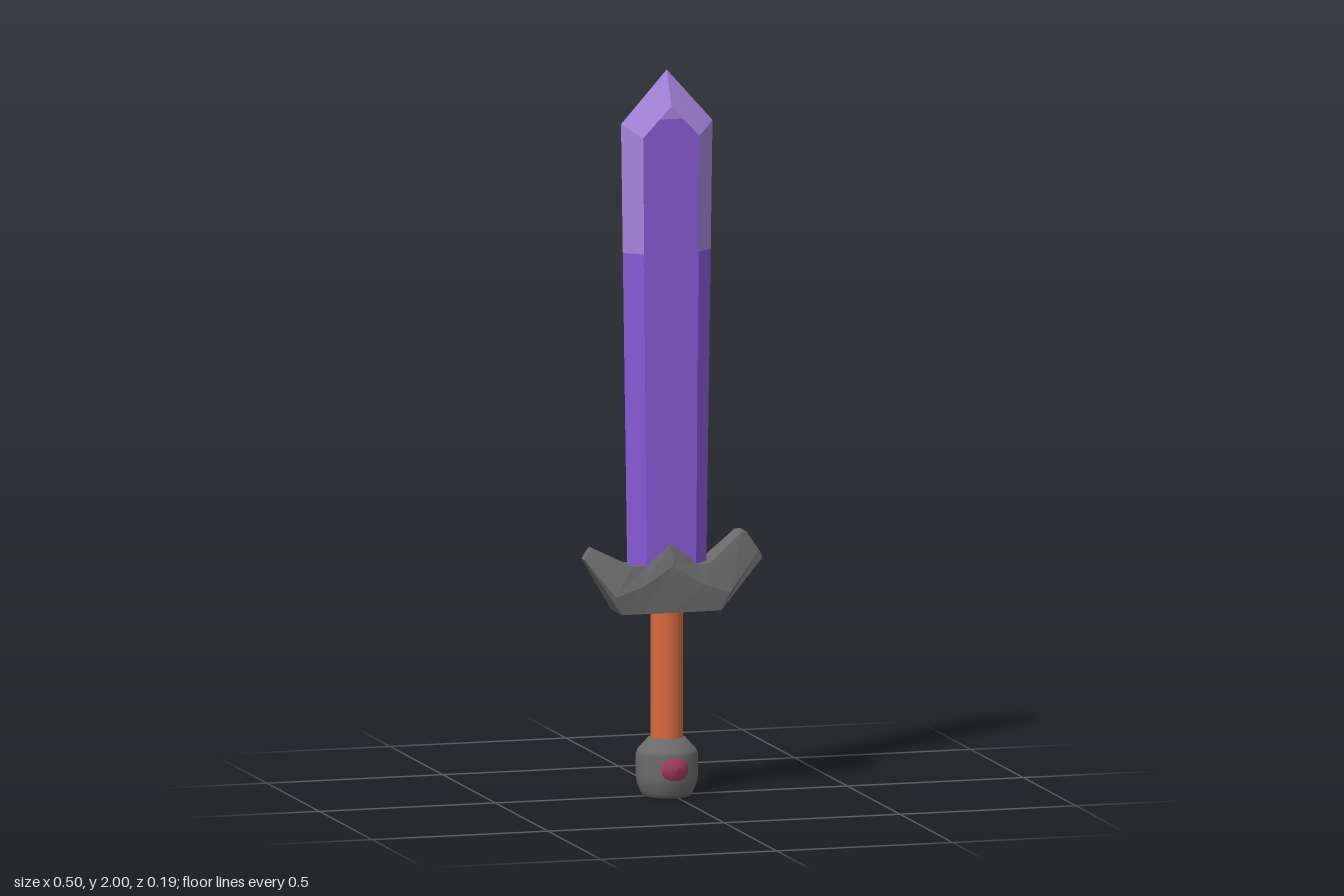
import * as THREE from 'three';

const CX = -0.013; // axis of blade, grip and pommel

const material = (name, color) => {
  const m = new THREE.MeshStandardMaterial({ color });
  m.name = name;
  return m;
};

// Flat-faced mesh from convex polygons, each a list of [x, y, z] corners
function facetMesh(name, polygons, mat) {
  const pos = [];
  for (const p of polygons)
    for (let i = 1; i < p.length - 1; i++) pos.push(...p[0], ...p[i], ...p[i + 1]);
  const geo = new THREE.BufferGeometry();
  geo.setAttribute('position', new THREE.Float32BufferAttribute(pos, 3));
  geo.computeVertexNormals();
  const mesh = new THREE.Mesh(geo, mat);
  mesh.name = name;
  return mesh;
}

// Blade: one quarter, mirrored in x and z
function makeBlade(purple, lilac) {
  const T = 0.044;
  const dark = [], light = [];
  for (const sx of [1, -1]) for (const sz of [1, -1]) {
    const add = (list, pts) => {
      const p = pts.map(([x, y, z]) => [x * sx, y, z * sz]);
      list.push(sx * sz < 0 ? p.reverse() : p);
    };
    // broad face and its pale point
    add(dark, [[0, 0.6, T], [0.07, 0.6, T], [0.08, 1.82, T], [0.033, 1.87, T], [0, 1.87, T]]);
    add(light, [[0, 1.87, T], [0.033, 1.87, T], [0, 1.905, T]]);
    // bevel, pale above
    add(dark, [[0.07, 0.6, T], [0.112, 0.6, 0], [0.125, 1.5, 0], [0.0774, 1.5, T]]);
    add(light, [[0.0774, 1.5, T], [0.125, 1.5, 0], [0.13, 1.855, 0], [0.08, 1.82, T]]);
    // tip
    add(light, [[0.08, 1.82, T], [0.13, 1.855, 0], [0, 2, 0], [0, 1.905, T]]);
  }
  const blade = new THREE.Group();
  blade.name = 'blade';
  blade.add(facetMesh('bladeBody', dark, purple), facetMesh('bladeEdge', light, lilac));
  blade.position.x = CX;
  return blade;
}

// Guard: six-sided sections from right arm to left arm
function makeGuard(mat) {
  // bottom, middle and top point of each section
  const sections = [
    [[-0.251, 0.66, 0.015], [-0.242, 0.675, 0.016], [-0.23, 0.692, 0.013]],
    [[-0.156, 0.51, 0.055], [-0.175, 0.56, 0.061], [-0.125, 0.64, 0.045]],
    [[-0.1, 0.51, 0.055], [-0.1, 0.585, 0.061], [-0.085, 0.64, 0.045]],
    [[CX, 0.51, 0.055], [CX, 0.64, 0.061], [CX, 0.7, 0.045]],
    [[0.074, 0.51, 0.055], [0.074, 0.585, 0.061], [0.06, 0.64, 0.045]],
    [[0.125, 0.51, 0.055], [0.15, 0.56, 0.061], [0.098, 0.64, 0.045]],
    [[0.247, 0.645, 0.033], [0.237, 0.665, 0.036], [0.19, 0.72, 0.033]],
    [[0.25, 0.65, 0.031], [0.24, 0.667, 0.034], [0.205, 0.72, 0.031]],
  ];
  const rings = sections.map((s) => [...s, ...[...s].reverse().map(([x, y, z]) => [x, y, -z])]);
  const polygons = [rings[0], [...rings[rings.length - 1]].reverse()];
  for (let i = 0; i < rings.length - 1; i++)
    for (let j = 0; j < 6; j++) {
      const a = rings[i], b = rings[i + 1], k = (j + 1) % 6;
      polygons.push([a[j], b[j], b[k], a[k]]);
    }
  return facetMesh('guard', polygons, mat);
}

export function createModel() {
  const purple = material('purple', 0x855ad6);
  const lilac = material('lilac', 0xa585dc);
  const grey = material('grey', 0x6a6a6a);
  const orange = material('orange', 0xd9693f);
  const crimson = material('crimson', 0xa43a5c);

  const sword = new THREE.Group();
  sword.name = 'sword';
  sword.add(makeBlade(purple, lilac), makeGuard(grey));

  // Grip
  const grip = new THREE.Mesh(new THREE.CylinderGeometry(0.044, 0.044, 0.38, 20), orange);
  grip.name = 'grip';
  grip.position.set(CX, 0.335, 0);
  sword.add(grip);

  // Pommel
  const profile = [[0, 0], [0.066, 0], [0.073, 0.012], [0.082, 0.035], [0.085, 0.055],
    [0.085, 0.115], [0.08, 0.128], [0.05, 0.16], [0, 0.162]];
  const pommel = new THREE.Mesh(
    new THREE.LatheGeometry(profile.map(([r, y]) => new THREE.Vector2(r, y)), 24), grey);
  pommel.name = 'pommel';
  pommel.position.x = CX;
  sword.add(pommel);

  // Gems on the front and back of the pommel
  const gemProfile = [[0.038, 0.065], [0.038, 0.08], [0.021, 0.091], [0, 0.095]];
  const gemGeo = new THREE.LatheGeometry(gemProfile.map(([r, y]) => new THREE.Vector2(r, y)), 16);
  for (const side of [1, -1]) {
    const gem = new THREE.Mesh(gemGeo, crimson);
    gem.name = side > 0 ? 'frontGem' : 'backGem';
    gem.rotation.x = side * Math.PI / 2;
    gem.position.set(CX, 0.082, 0);
    sword.add(gem);
  }
  return sword;
}
